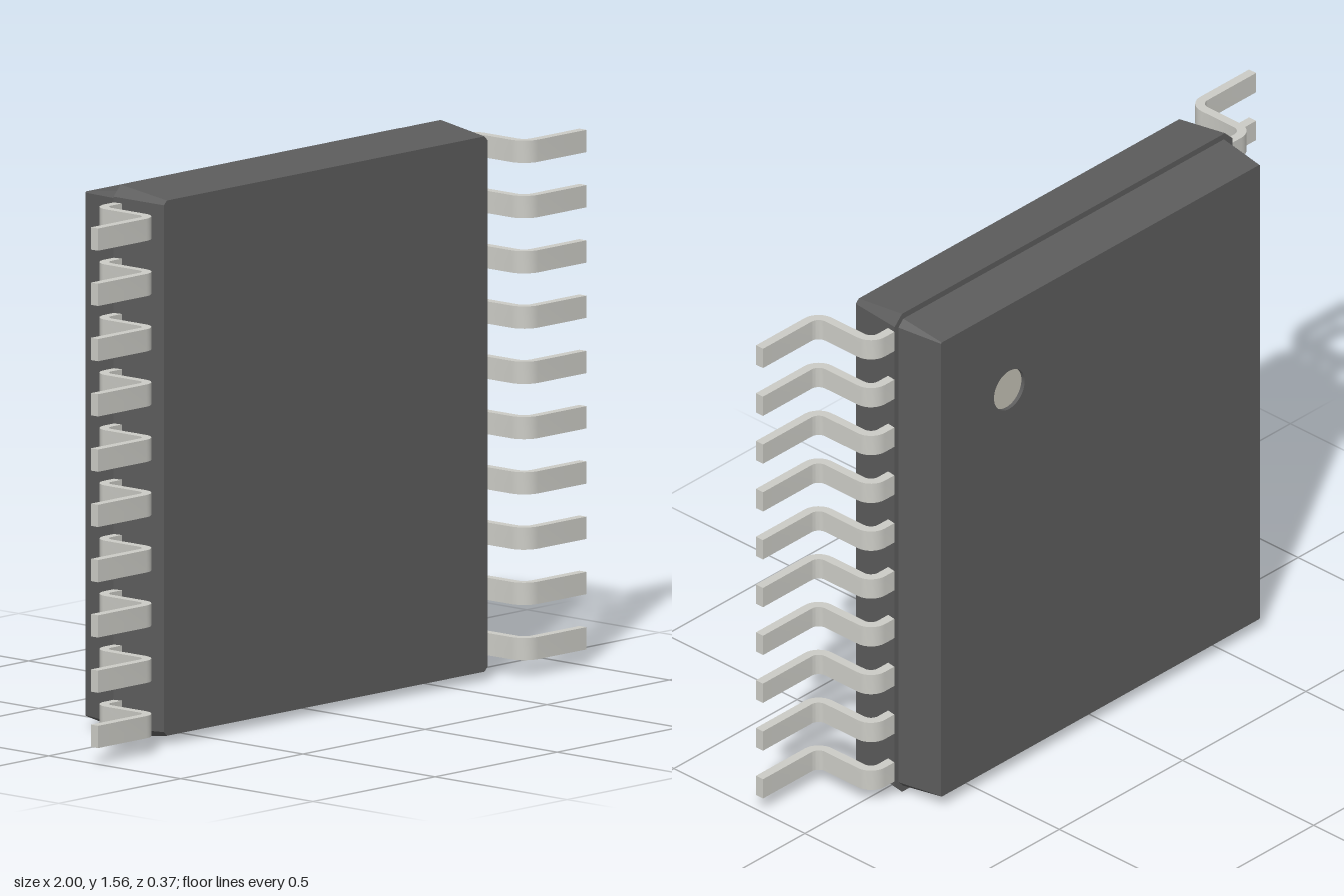
import * as THREE from 'three';
import { toCreasedNormals } from 'three/addons/utils/BufferGeometryUtils.js';

const MID = 0.781;                       // height of the body centre
const BACK = -0.187, SPLIT = -0.046, FRONT = 0.124;
const DOT = { x: 0.37, y: 1.245, r: 0.062, depth: 0.012 };

// Rectangle outline with cut corners, counter-clockwise seen from the front
function outline(w, h, c) {
  return [
    [w - c, -h], [w, -h + c], [w, h - c], [w - c, h],
    [-w + c, h], [-w, h - c], [-w, -h + c], [-w + c, -h],
  ].map(([x, y]) => new THREE.Vector2(x, y + MID));
}

// Tapered walls between a rear and a front outline
function walls(rear, zRear, front, zFront) {
  const pos = [];
  const put = (p, z) => pos.push(p.x, p.y, z);
  rear.forEach((a, i) => {
    const j = (i + 1) % rear.length;
    put(a, zRear); put(rear[j], zRear); put(front[j], zFront);
    put(a, zRear); put(front[j], zFront); put(front[i], zFront);
  });
  const g = new THREE.BufferGeometry();
  g.setAttribute('position', new THREE.Float32BufferAttribute(pos, 3));
  g.computeVertexNormals();
  return g;
}

// Flat cap facing the front or the back
function cap(points, z, facesBack, hole) {
  const shape = new THREE.Shape(points);
  if (hole) shape.holes.push(hole);
  const g = new THREE.ShapeGeometry(shape, 32);
  if (facesBack) {
    const idx = g.index.array;
    for (let i = 0; i < idx.length; i += 3) [idx[i], idx[i + 1]] = [idx[i + 1], idx[i]];
    g.computeVertexNormals();
  }
  return g.translate(0, 0, z);
}

// Gull-wing pin: a strip bent twice, extruded along its width
function pinGeometry(side) {
  const t = 0.0135, r = 0.04, xUp = 0.7625, zTop = -0.031, zFoot = 0.1735, width = 0.063;
  const outer = [], inner = [];
  const add = (x, z, nx, nz) => {
    outer.push(new THREE.Vector2(side * (x + nx * t), z + nz * t));
    inner.push(new THREE.Vector2(side * (x - nx * t), z - nz * t));
  };
  const steps = 8;
  add(0.6, zTop, 0, -1);
  for (let i = 0; i <= steps; i++) {
    const a = (i / steps) * Math.PI / 2, nx = Math.sin(a), nz = -Math.cos(a);
    add(xUp - r + r * nx, zTop + r + r * nz, nx, nz);
  }
  for (let i = steps; i >= 0; i--) {
    const a = (i / steps) * Math.PI / 2, nx = Math.sin(a), nz = -Math.cos(a);
    add(xUp + r - r * nx, zFoot - r - r * nz, nx, nz);
  }
  add(1, zFoot, 0, -1);
  const g = new THREE.ExtrudeGeometry(new THREE.Shape([...outer, ...inner.reverse()]),
    { depth: width, bevelEnabled: false });
  g.translate(0, 0, -width / 2).rotateX(Math.PI / 2);
  return toCreasedNormals(g, Math.PI / 6);
}

export function createModel() {
  const model = new THREE.Group();
  const dark = new THREE.MeshStandardMaterial({ color: 0x5c5c5c });
  const metal = new THREE.MeshStandardMaterial({ color: 0xcbcbc5 });
  const pale = new THREE.MeshStandardMaterial({ color: 0xc4c0b4 });
  const part = (name, geometry, material, parent) => {
    const m = new THREE.Mesh(geometry, material);
    m.name = name;
    parent.add(m);
    return m;
  };

  // Body: two tapered halves meeting at a small step
  const body = new THREE.Group();
  body.name = 'body';
  model.add(body);
  const frontRim = outline(0.685, 0.781, 0.03), frontFace = outline(0.662, 0.757, 0.012);
  const backRim = outline(0.67, 0.763, 0.02), backFace = outline(0.647, 0.742, 0.003);
  part('frontWalls', walls(frontRim, SPLIT, frontFace, FRONT), dark, body);
  part('frontFace', cap(frontFace, FRONT, false), dark, body);
  part('stepLedge', cap(frontRim, SPLIT, true), dark, body);
  part('backWalls', walls(backFace, BACK, backRim, SPLIT), dark, body);
  const hole = new THREE.Path().absarc(DOT.x, DOT.y, DOT.r, 0, Math.PI * 2, true);
  part('backFace', cap(backFace, BACK, true, hole), dark, body);

  // Shallow round marker recessed in the back face
  const wall = new THREE.CylinderGeometry(DOT.r, DOT.r, DOT.depth, 64, 1, true).rotateX(Math.PI / 2);
  const wallMaterial = dark.clone();
  wallMaterial.side = THREE.DoubleSide;
  part('markerWall', wall, wallMaterial, body).position.set(DOT.x, DOT.y, BACK + DOT.depth / 2);
  const floor = new THREE.CircleGeometry(DOT.r, 64).rotateY(Math.PI);
  part('markerDot', floor, pale, body).position.set(DOT.x, DOT.y, BACK + DOT.depth);

  // Ten pins along each side
  for (const [side, name] of [[1, 'leftPin'], [-1, 'rightPin']]) {
    const pins = new THREE.Group();
    pins.name = name + 's';
    model.add(pins);
    const geometry = pinGeometry(side);
    for (let i = 0; i < 10; i++) {
      part(name + (i + 1), geometry, metal, pins).position.y = MID + (i - 4.5) * 0.1563;
    }
  }
  return model;
}
